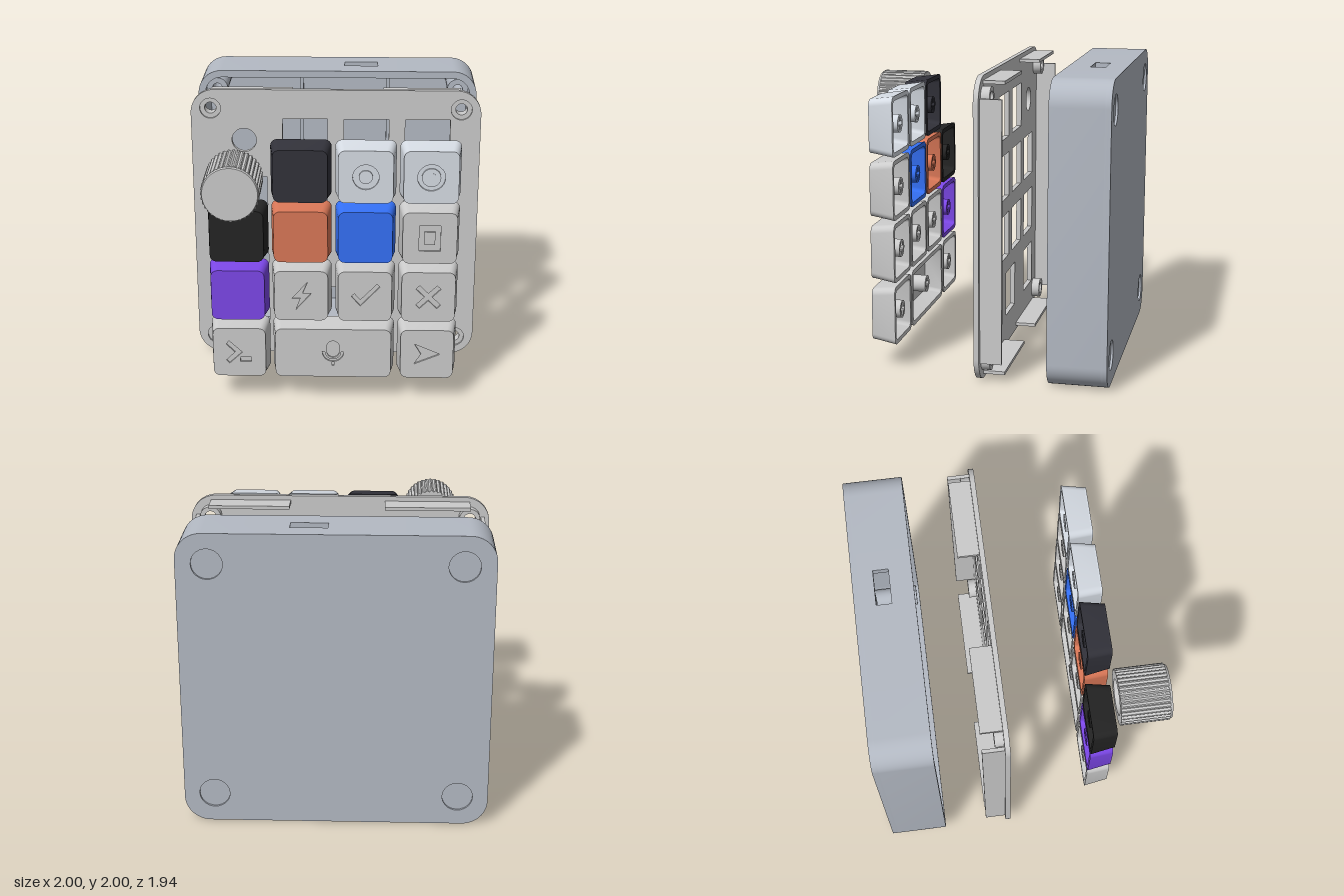
import * as THREE from 'three';
import { toCreasedNormals, mergeGeometries } from 'three/addons/utils/BufferGeometryUtils.js';

const material = (color) => new THREE.MeshStandardMaterial({ color });
const V = (x, y) => new THREE.Vector2(x, y);
const GREY = material(0xcccccc);
const CASE = material(0xb4bac4);

// Counter-clockwise loop of a rounded rectangle
function roundedRect(w, h, r, cx = 0, cy = 0, n = 6) {
  const pts = [];
  [[1, 1], [-1, 1], [-1, -1], [1, -1]].forEach(([sx, sy], q) => {
    for (let i = 0; i <= n; i++) {
      const a = (q + i / n) * Math.PI / 2;
      pts.push(V(cx + sx * (w / 2 - r) + r * Math.cos(a), cy + sy * (h / 2 - r) + r * Math.sin(a)));
    }
  });
  return pts;
}
const rect = (w, h, cx = 0, cy = 0) =>
  [V(cx - w / 2, cy - h / 2), V(cx + w / 2, cy - h / 2), V(cx + w / 2, cy + h / 2), V(cx - w / 2, cy + h / 2)];
const circle = (r, cx = 0, cy = 0, n = 28) =>
  Array.from({ length: n }, (_, i) => V(cx + r * Math.cos(i / n * 2 * Math.PI), cy + r * Math.sin(i / n * 2 * Math.PI)));
const poly = (...xy) => xy.map(([x, y]) => V(x, y));

// Prism from z0 to z1, with holes and optional loose islands
function prism(outline, z0, z1, holes = [], islands = []) {
  const shape = new THREE.Shape(outline);
  shape.holes = holes.map((h) => new THREE.Path(h));
  const shapes = [shape, ...islands.map((p) => new THREE.Shape(p))];
  const geo = new THREE.ExtrudeGeometry(shapes, { depth: z1 - z0, bevelEnabled: false });
  return toCreasedNormals(geo.translate(0, 0, z0), 0.5);
}

// Skin over loops of equal length, closed at both ends
function loft(loops) {
  const pos = [];
  const tri = (...p) => p.forEach((v) => pos.push(...v));
  const at = ({ pts, z }, j) => { const p = pts[j % pts.length]; return [p.x, p.y, z]; };
  const n = loops[0].pts.length, last = loops[loops.length - 1];
  for (let j = 0; j < n; j++) {
    tri([0, 0, loops[0].z], at(loops[0], j + 1), at(loops[0], j));
    tri([0, 0, last.z], at(last, j), at(last, j + 1));
    for (let i = 0; i < loops.length - 1; i++) {
      const a = at(loops[i], j), b = at(loops[i], j + 1), c = at(loops[i + 1], j + 1), d = at(loops[i + 1], j);
      tri(a, b, c);
      tri(a, c, d);
    }
  }
  const geo = new THREE.BufferGeometry();
  geo.setAttribute('position', new THREE.Float32BufferAttribute(pos, 3));
  return toCreasedNormals(geo, 0.5);
}

function add(parent, name, geo, mat) {
  const mesh = new THREE.Mesh(geo, mat);
  mesh.name = name;
  parent.add(mesh);
  return mesh;
}

const plus = (l, t) => poly([t, t], [t, l], [-t, l], [-t, t], [-l, t], [-l, -t], [-t, -t], [-t, -l], [t, -l], [t, -t], [l, -t], [l, t]);
const turn = (pts, a) => pts.map((p) => p.rotateAround(V(0, 0), a));
const half = (r, cy, from, n = 12) =>
  Array.from({ length: n + 1 }, (_, i) => V(r * Math.cos(from + i / n * Math.PI), cy + r * Math.sin(from + i / n * Math.PI)));

// Engraved generic key symbols: cut areas and the islands left inside them
const SYMBOLS = {
  none: () => ({ cut: [], keep: [] }),
  ring: () => ({ cut: [circle(0.085)], keep: [circle(0.045)] }),
  target: () => ({ cut: [circle(0.09)], keep: [prismRing()] }),
  frame: () => ({ cut: [rect(0.14, 0.18)], keep: [rect(0.07, 0.09)] }),
  bolt: () => ({ cut: [poly([0.043, 0.1], [-0.064, -0.02], [-0.005, -0.02], [-0.035, -0.1], [0.07, 0.02], [0.01, 0.02])], keep: [] }),
  check: () => ({ cut: [poly([-0.09, 0], [-0.07, 0.02], [-0.03, -0.025], [0.08, 0.09], [0.1, 0.07], [-0.03, -0.07])], keep: [] }),
  cross: () => ({ cut: [turn(plus(0.1, 0.018), Math.PI / 4)], keep: [] }),
  prompt: () => ({ cut: [poly([-0.09, 0.06], [-0.07, 0.085], [0.02, 0], [-0.07, -0.085], [-0.09, -0.06], [-0.03, 0]), rect(0.075, 0.035, 0.043, -0.053)], keep: [] }),
  arrow: () => ({ cut: [poly([0.09, 0], [-0.085, 0.075], [-0.04, 0], [-0.085, -0.075])], keep: [] }),
  microphone: () => ({
    cut: [[...half(0.042, 0.05, 0), ...half(0.042, 0.01, Math.PI)],
      [...half(0.073, 0.01, Math.PI), ...half(0.056, 0.01, Math.PI).reverse()],
      rect(0.014, 0.025, 0, -0.08)], keep: [],
  }),
};
const prismRing = () => circle(0.062);

// Hollow tapered keycap with a cross-socket stem
function keycap(x, y, width, color, symbol) {
  const g = new THREE.Group();
  g.name = 'keycap';
  const mat = material(color), extra = width - 0.4;
  const loop = (s, r, z) => ({ pts: roundedRect(s + extra, s, r), z });
  add(g, 'keyShell', loft([loop(0.3, 0.03, 0.59), loop(0.34, 0.03, 0.47), loop(0.4, 0.045, 0.47), loop(0.357, 0.045, 0.623)]), mat);
  const { cut, keep } = SYMBOLS[symbol]();
  add(g, 'keyTop', prism(roundedRect(0.357 + extra, 0.357, 0.045), 0.623, 0.635, cut, keep), mat);
  if (symbol === 'target') add(g, 'targetGroove', prism(circle(0.032), 0.6345, 0.6355), mat);
  add(g, 'keyStem', prism(circle(0.06), 0.475, 0.592, [plus(0.042, 0.013)]), mat);
  g.position.set(x, y, 0);
  return g;
}

// Fluted knob with a recessed D-shaped socket
function knob() {
  const g = new THREE.Group();
  g.name = 'knob';
  const n = 288;
  const flutes = () => Array.from({ length: n }, (_, i) => {
    const a = i / n * 2 * Math.PI;
    return V(Math.cos(a), Math.sin(a)).multiplyScalar(0.181 + 0.005 * Math.min(1, 1.6 * Math.cos(36 * a) + 0.5));
  });
  const dHole = Array.from({ length: 21 }, (_, i) => {
    const a = -2.1 + i / 20 * 4.2;
    return V(0.065 * Math.cos(a), 0.065 * Math.sin(a));
  });
  add(g, 'knobGrip', mergeGeometries([
    prism(flutes(), 0.635, 0.67, [circle(0.12)]),
    prism(flutes(), 0.67, 0.85, [dHole]),
    prism(flutes(), 0.85, 0.955),
  ]), GREY);
  const face = new THREE.CylinderGeometry(0.175, 0.181, 0.015, 72).rotateX(Math.PI / 2).translate(0, 0, 0.9625);
  add(g, 'knobFace', toCreasedNormals(face, 0.5), GREY);
  g.position.set(-0.635, 1.635, 0);
  return g;
}

const COLS = [-0.635, -0.2125, 0.2125, 0.635], ROWS = [1.637, 1.215, 0.792, 0.367];
const SCREWS = [-1, 1].flatMap((sx) => [-1, 1].map((sy) => [0.865 * sx, 1 + 0.865 * sy]));
const screwHoles = (r) => SCREWS.map(([x, y]) => circle(r, x, y));
const body = () => roundedRect(2, 2, 0.17, 0, 1, 14);

// Switch plate with cutouts, screw bosses and locating ribs
function plate() {
  const g = new THREE.Group();
  g.name = 'switchPlate';
  const cutouts = () => [circle(0.085, COLS[0], ROWS[0]), ...ROWS.flatMap((y, r) =>
    (r === 3 ? [COLS[0], 0, COLS[3]] : r === 0 ? COLS.slice(1) : COLS).map((x) => rect(0.31, 0.31, x, y)))];
  add(g, 'plateFront', prism(body(), -0.118, -0.103, [...cutouts(), ...screwHoles(0.072)]), GREY);
  add(g, 'plateBack', prism(body(), -0.137, -0.118, [...cutouts(), ...screwHoles(0.04)]), GREY);
  for (const [x, y] of SCREWS) add(g, 'plateBoss', prism(circle(0.07, x, y), -0.195, -0.137, [circle(0.04, x, y)]), GREY);
  const rib = (w, h, x, y) => add(g, 'locatingRib', prism(rect(w, h, x, y), -0.28, -0.137), GREY);
  for (const s of [-1, 1]) {
    rib(0.025, 1.73, s * 0.953, 1);
    rib(0.66, 0.022, s * 0.53, 0.042);
  }
  rib(0.565, 0.022, -0.583, 1.958);
  rib(0.535, 0.022, 0.597, 1.958);
  return g;
}

// Open-fronted case with port slot, drain holes, screw posts and foot recesses
function caseShell() {
  const g = new THREE.Group();
  g.name = 'case';
  const feet = [-1, 1].flatMap((sx) => [-1, 1].map((sy) => circle(0.1, 0.8 * sx, 1 + 0.8 * sy)));
  add(g, 'caseBack', prism(body(), -0.97, -0.955, feet), CASE);
  add(g, 'caseFloor', prism(body(), -0.955, -0.93), CASE);
  // C-shaped side wall, turned half round for the other side
  const half = (w, r) => roundedRect(w, w, r, 0, 0, 14).filter((p) => p.x > 0);
  const order = (p) => p.sort((a, b) => Math.atan2(a.y, a.x) - Math.atan2(b.y, b.x));
  const side = [V(0.4, -1), ...order(half(2, 0.17)), V(0.4, 1), V(0.4, 0.95), ...order(half(1.9, 0.12)).reverse(), V(0.4, -0.95)];
  for (const a of [0, Math.PI]) {
    const wall = add(g, 'caseSideWall', prism(side, -0.93, -0.58), CASE);
    wall.position.y = 1;
    wall.rotation.z = a;
  }
  const panel = (name, y, holes) =>
    add(g, name, prism(rect(0.8, 0.35, 0, 0.755), 0, 0.05, holes).rotateX(-Math.PI / 2).translate(0, y, 0), CASE);
  panel('caseTopWall', 1.95, [rect(0.24, 0.1, 0.17, 0.78)]);
  panel('caseBottomWall', 0, [-0.065, 0, 0.065].map((x) => circle(0.02, x, 0.79, 16)));
  for (const [x, y] of SCREWS) add(g, 'screwPost', prism(circle(0.075, x, y), -0.93, -0.6, [circle(0.035, x, y)]), CASE);
  // Circuit board supports on the floor
  for (const y of [1.66, 1.2]) add(g, 'boardSupport', prism(rect(0.38, 0.14, 0.05, y), -0.93, -0.84), CASE);
  for (const x of [-0.27, 0.37]) add(g, 'floorRib', prism(rect(0.025, 1.9, x, 1), -0.93, -0.88), CASE);
  return g;
}

export function createModel() {
  const model = new THREE.Group();
  model.name = 'explodedKeypad';
  model.add(caseShell(), plate(), knob());
  const C = 0xcccccc, LIGHT = 0xd6dce4;
  const layout = [
    [null, [0x32323a, 'none'], [LIGHT, 'ring'], [LIGHT, 'target']],
    [[0x242424, 'none'], [0xd97757, 'none'], [0x3470f5, 'none'], [C, 'frame']],
    [[0x7c47e8, 'none'], [C, 'bolt'], [C, 'check'], [C, 'cross']],
    [[C, 'prompt'], null, null, [C, 'arrow']],
  ];
  layout.forEach((row, r) => row.forEach((key, c) => {
    if (key) model.add(keycap(COLS[c], ROWS[r], 0.4, ...key));
  }));
  model.add(keycap(0, ROWS[3], 0.825, C, 'microphone'));
  return model;
}
